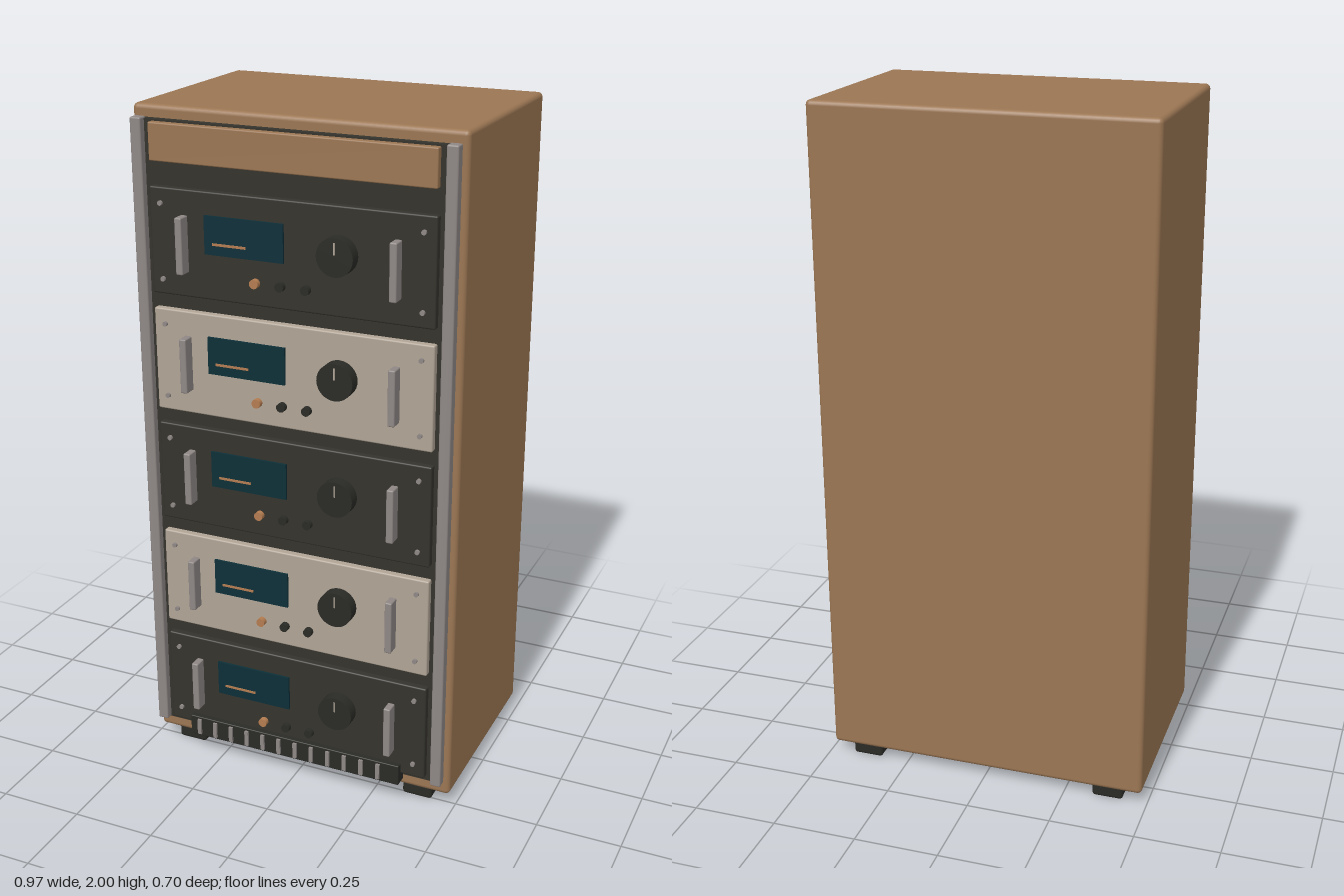
import * as THREE from 'three';
import { RoundedBoxGeometry } from 'three/addons/geometries/RoundedBoxGeometry.js';

const mat = (name, color) => {
  const m = new THREE.MeshStandardMaterial({ color });
  m.name = name;
  return m;
};

export function createModel() {
  const wood = mat('walnut wood', 0x9b7653);
  const dark = mat('dark enamel', 0x34332d);
  const black = mat('black rubber', 0x2a2a26);
  const ivory = mat('ivory enamel', 0xb0a495);
  const metal = mat('brushed metal', 0x8e8785);
  const glass = mat('display glass', 0x0d2f38);
  const amber = mat('amber', 0xb37c50);

  const root = new THREE.Group();
  root.name = 'equipmentRack';

  // Box given by its limits on each axis; r rounds the edges
  const box = (parent, name, material, [x0, x1], [y0, y1], [z0, z1], r = 0) => {
    const size = [x1 - x0, y1 - y0, z1 - z0];
    const geo = r ? new RoundedBoxGeometry(...size, 3, r) : new THREE.BoxGeometry(...size);
    const m = new THREE.Mesh(geo, material);
    m.name = name;
    m.position.set((x0 + x1) / 2, (y0 + y1) / 2, (z0 + z1) / 2);
    parent.add(m);
    return m;
  };

  // Disc or knob whose axis points forwards
  const disc = (parent, name, material, x, y, z0, z1, r, sides = 20) => {
    const geo = new THREE.CylinderGeometry(r, r, z1 - z0, sides).rotateX(Math.PI / 2);
    const m = new THREE.Mesh(geo, material);
    m.name = name;
    m.position.set(x, y, (z0 + z1) / 2);
    parent.add(m);
    return m;
  };

  // Cabinet, dark front frame and wooden header
  box(root, 'cabinet', wood, [-0.485, 0.485], [0.037, 2], [-0.35, 0.27], 0.014);
  box(root, 'frontFrame', dark, [-0.445, 0.445], [0.087, 1.965], [0.255, 0.29]);
  box(root, 'header', wood, [-0.417, 0.417], [1.855, 1.96], [0.28, 0.31], 0.004);

  // Rails and feet
  for (const s of [-1, 1]) {
    const cx = s * 0.4545;
    box(root, 'rail', metal, [cx - 0.0165, cx + 0.0165], [0.087, 1.97], [0.28, 0.312], 0.005);
    box(root, 'railBacking', dark, [cx - 0.01, cx + 0.01], [0.095, 1.96], [0.26, 0.283]);
    for (const z of [0.207, -0.284]) {
      box(root, 'foot', black, [s * 0.38 - 0.046, s * 0.38 + 0.046], [0, 0.045], [z - 0.054, z + 0.054], 0.01);
    }
  }

  // One rack unit, built around its own centre height
  const front = 0.31;
  const makeUnit = (y, panel) => {
    const unit = new THREE.Group();
    unit.name = 'rackUnit';
    unit.position.y = y;
    box(unit, 'facePanel', panel, [-0.42, 0.42], [-0.151, 0.151], [0.28, front], 0.005);

    // Display with its level line
    box(unit, 'display', glass, [-0.25, -0.013], [-0.021, 0.087], [front - 0.002, front + 0.007]);
    box(unit, 'displayLine', amber, [-0.225, -0.124], [0.006, 0.013], [front + 0.006, front + 0.009]);

    // Tuning knob and pointer
    disc(unit, 'knob', black, 0.149, 0.021, front, 0.346, 0.053, 32);
    box(unit, 'knobPointer', ivory, [0.147, 0.151], [0.029, 0.062], [0.345, 0.348]);

    // Indicator lamp and two buttons
    [-0.099, -0.023, 0.053].forEach((x, i) =>
      disc(unit, i ? 'button' : 'lamp', i ? black : amber, x, -0.086, front, 0.326, 0.013));

    // Handles and corner screws
    for (const s of [-1, 1]) {
      const hx = s * 0.314;
      box(unit, 'handle', metal, [hx - 0.0105, hx + 0.0105], [-0.08, 0.08], [front - 0.002, 0.348], 0.004);
      for (const sy of [-1, 1]) disc(unit, 'screw', metal, s * 0.385, sy * 0.107, front, 0.318, 0.007, 12);
    }
    root.add(unit);
  };
  for (let i = 0; i < 5; i++) makeUnit(0.254 + i * 0.3453, i % 2 ? ivory : dark);

  // Ventilation grille with metal fins
  const grille = new THREE.Group();
  grille.name = 'ventGrille';
  box(grille, 'grilleBar', black, [-0.346, 0.346], [0.07, 0.135], [0.285, 0.327], 0.003);
  for (let i = 0; i < 12; i++) {
    const x = -0.314 + i * 0.0541;
    box(grille, 'grilleFin', metal, [x - 0.006, x + 0.006], [0.078, 0.128], [0.32, 0.334]);
  }
  root.add(grille);

  return root;
}
